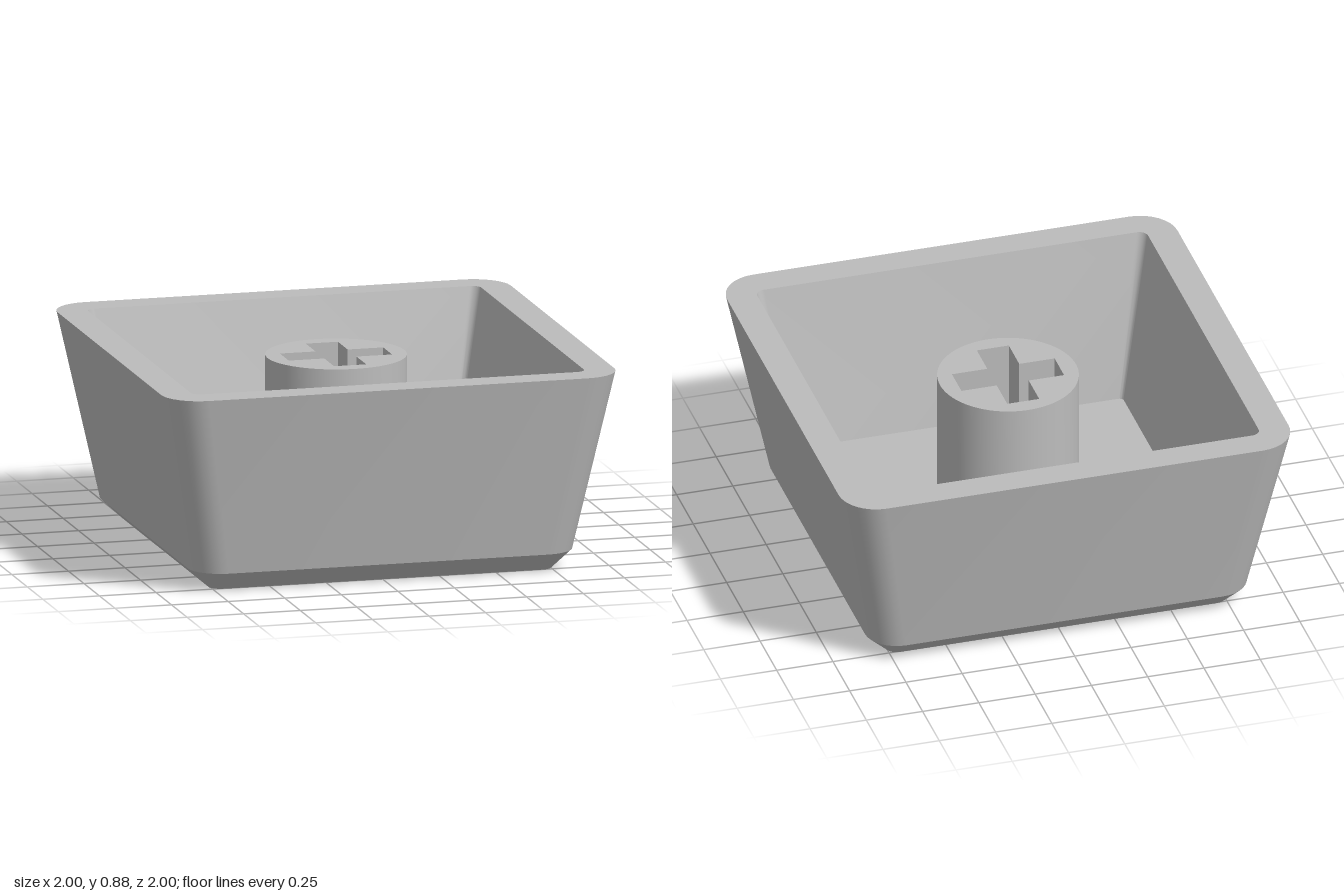
import * as THREE from 'three';
import { toCreasedNormals } from 'three/addons/utils/BufferGeometryUtils.js';

const HEIGHT = 0.88, FLOOR = 0.155, RECESS = 0.05;
const STEPS = 8; // segments per rounded corner

// Rounded square as [x, y] points, counter-clockwise
function roundedSquare(half, radius) {
  const points = [];
  for (let corner = 0; corner < 4; corner++) {
    const mid = (corner + 0.5) * Math.PI / 2;
    const cx = Math.sign(Math.cos(mid)) * (half - radius);
    const cy = Math.sign(Math.sin(mid)) * (half - radius);
    for (let i = 0; i <= STEPS; i++) {
      const a = (corner + i / STEPS) * Math.PI / 2;
      points.push(new THREE.Vector2(cx + radius * Math.cos(a), cy + radius * Math.sin(a)));
    }
  }
  return points;
}

// Skin a stack of rounded squares given as [half, radius, y]
function loft(sections) {
  const positions = [], index = [];
  const count = 4 * (STEPS + 1);
  for (const [half, radius, y] of sections) {
    for (const p of roundedSquare(half, radius)) positions.push(p.x, y, -p.y);
  }
  for (let s = 0; s < sections.length - 1; s++) {
    for (let i = 0; i < count; i++) {
      const a = s * count + i, b = s * count + (i + 1) % count;
      index.push(a, b, b + count, a, b + count, a + count);
    }
  }
  const geometry = new THREE.BufferGeometry();
  geometry.setAttribute('position', new THREE.Float32BufferAttribute(positions, 3));
  geometry.setIndex(index);
  return toCreasedNormals(geometry, 0.4);
}

// Upright prism from a plan outline (plan y points to -z)
function prism(shape, y0, y1) {
  const geometry = new THREE.ExtrudeGeometry(shape, { depth: y1 - y0, bevelEnabled: false, curveSegments: 64 });
  geometry.rotateX(-Math.PI / 2).translate(0, y0, 0);
  return toCreasedNormals(geometry, 0.4);
}

// Slanted four-sided outline, centred on (cx, 0)
function slanted(cx, halfWidth, halfLength) {
  const lean = -0.38 * halfLength;
  return [
    [cx - lean - halfWidth, -halfLength], [cx - lean + halfWidth, -halfLength],
    [cx + lean + halfWidth, halfLength], [cx + lean - halfWidth, halfLength],
  ].map(([x, y]) => new THREE.Vector2(x, y));
}

export function createModel() {
  const group = new THREE.Group();
  const plastic = new THREE.MeshStandardMaterial({ color: 0xbcbcbc });
  plastic.name = 'grey plastic';

  const add = (name, geometry) => {
    const mesh = new THREE.Mesh(geometry, plastic);
    mesh.name = name;
    group.add(mesh);
  };

  // Tapered shell: bevel, outer wall, flat rim, inner wall
  add('shell', loft([
    [0.755, 0.05, 0],
    [0.845, 0.14, 0.085],
    [1, 0.165, HEIGHT],
    [0.868, 0.04, HEIGHT],
    [0.724, 0.02, FLOOR],
  ]));

  // Underside plate with two slanted recesses
  const plate = new THREE.Shape(roundedSquare(0.755, 0.05));
  plate.holes.push(new THREE.Path(slanted(0.215, 0.185, 0.52)));
  plate.holes.push(new THREE.Path(slanted(-0.27, 0.135, 0.495)));
  add('undersidePlate', prism(plate, 0, RECESS));

  // Raised centre that turns the wider recess into a groove
  add('recessIsland', prism(new THREE.Shape(slanted(0.22, 0.085, 0.445)), 0, RECESS));

  // Inner floor, also the ceiling of the recesses
  add('floor', prism(new THREE.Shape(roundedSquare(0.724, 0.02)), RECESS, FLOOR));

  // Round stem with a cross-shaped socket
  const stem = new THREE.Shape().absarc(0, 0, 0.302, 0, Math.PI * 2, false);
  const arm = 0.228, w = 0.071;
  stem.holes.push(new THREE.Path([
    [arm, -w], [arm, w], [w, w], [w, arm], [-w, arm], [-w, w],
    [-arm, w], [-arm, -w], [-w, -w], [-w, -arm], [w, -arm], [w, -w],
  ].map(([x, y]) => new THREE.Vector2(x, y))));
  add('stem', prism(stem, FLOOR, 0.82));

  return group;
}
